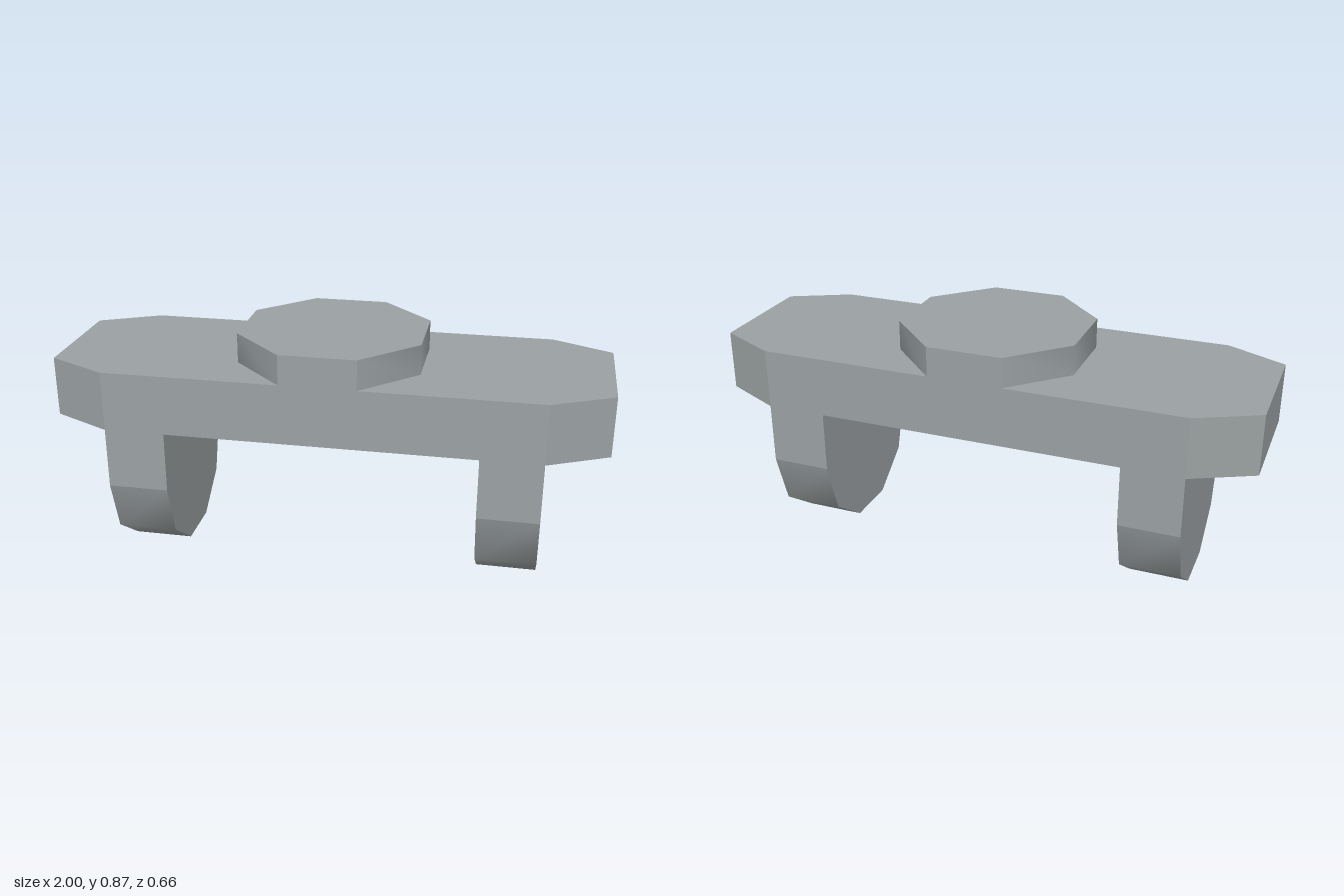
import * as THREE from 'three';
import { mergeGeometries } from 'three/addons/utils/BufferGeometryUtils.js';

// Prism from a counter-clockwise outline in XY, extruded along +z.
// The outline is a list of runs; walls are smooth inside a run, sharp between runs.
function prism(runs, depth) {
  const parts = runs.map((run) => {
    const position = [], index = [];
    run.forEach(([x, y], i) => {
      position.push(x, y, 0, x, y, depth);
      if (i > 0) {
        const a = 2 * (i - 1);
        index.push(a, a + 2, a + 1, a + 1, a + 2, a + 3);
      }
    });
    const wall = new THREE.BufferGeometry();
    wall.setAttribute('position', new THREE.Float32BufferAttribute(position, 3));
    wall.setIndex(index);
    wall.computeVertexNormals();
    return wall;
  });
  // End caps
  const outline = runs.flatMap((run) => run.slice(0, -1)).map(([x, y]) => new THREE.Vector2(x, y));
  const front = new THREE.ShapeGeometry(new THREE.Shape(outline));
  front.deleteAttribute('uv');
  const back = front.clone();
  back.index.array.reverse();
  back.computeVertexNormals();
  front.translate(0, 0, depth);
  return mergeGeometries([...parts, front, back]);
}

// One flat run per edge of a closed outline
const flatRuns = (points) => points.map((p, i) => [p, points[(i + 1) % points.length]]);

export function createModel() {
  const model = new THREE.Group();
  model.name = 'bracketWithKnob';
  const grey = new THREE.MeshStandardMaterial({ color: 0x9ba1a3 });
  grey.name = 'grey';

  const add = (name, geometry, x, y) => {
    const mesh = new THREE.Mesh(geometry, grey);
    mesh.name = name;
    mesh.position.set(x, y, 0);
    model.add(mesh);
  };

  // Crossbar with chamfered ends
  const bar = prism(flatRuns([
    [-0.78, -0.33], [0.78, -0.33], [1, -0.22], [1, 0.22],
    [0.78, 0.33], [-0.78, 0.33], [-1, 0.22], [-1, -0.22],
  ]), 0.22);
  add('crossbar', bar.rotateX(-Math.PI / 2), 0, 0.54);

  // Low knob: flat front and back, rounded sides
  const k = 0.33, c = 0.137;
  const knob = prism([
    [[-c, -k], [c, -k]],
    [[c, -k], [k, -c], [k, c], [c, k]],
    [[c, k], [-c, k]],
    [[-c, k], [-k, c], [-k, -c], [-c, -k]],
  ], 0.11);
  add('knob', knob.rotateX(-Math.PI / 2), 0, 0.76);

  // Two legs with rounded lower ends
  const leg = prism([
    [[-0.33, 0.54], [-0.33, 0.317]],
    [[-0.33, 0.317], [-0.268, 0.121], [-0.102, 0], [0.102, 0], [0.268, 0.121], [0.33, 0.317]],
    [[0.33, 0.317], [0.33, 0.54]],
    [[0.33, 0.54], [-0.33, 0.54]],
  ], 0.22).rotateY(Math.PI / 2);
  add('leftLeg', leg, 0.56, 0);
  add('rightLeg', leg, -0.78, 0);

  return model;
}
